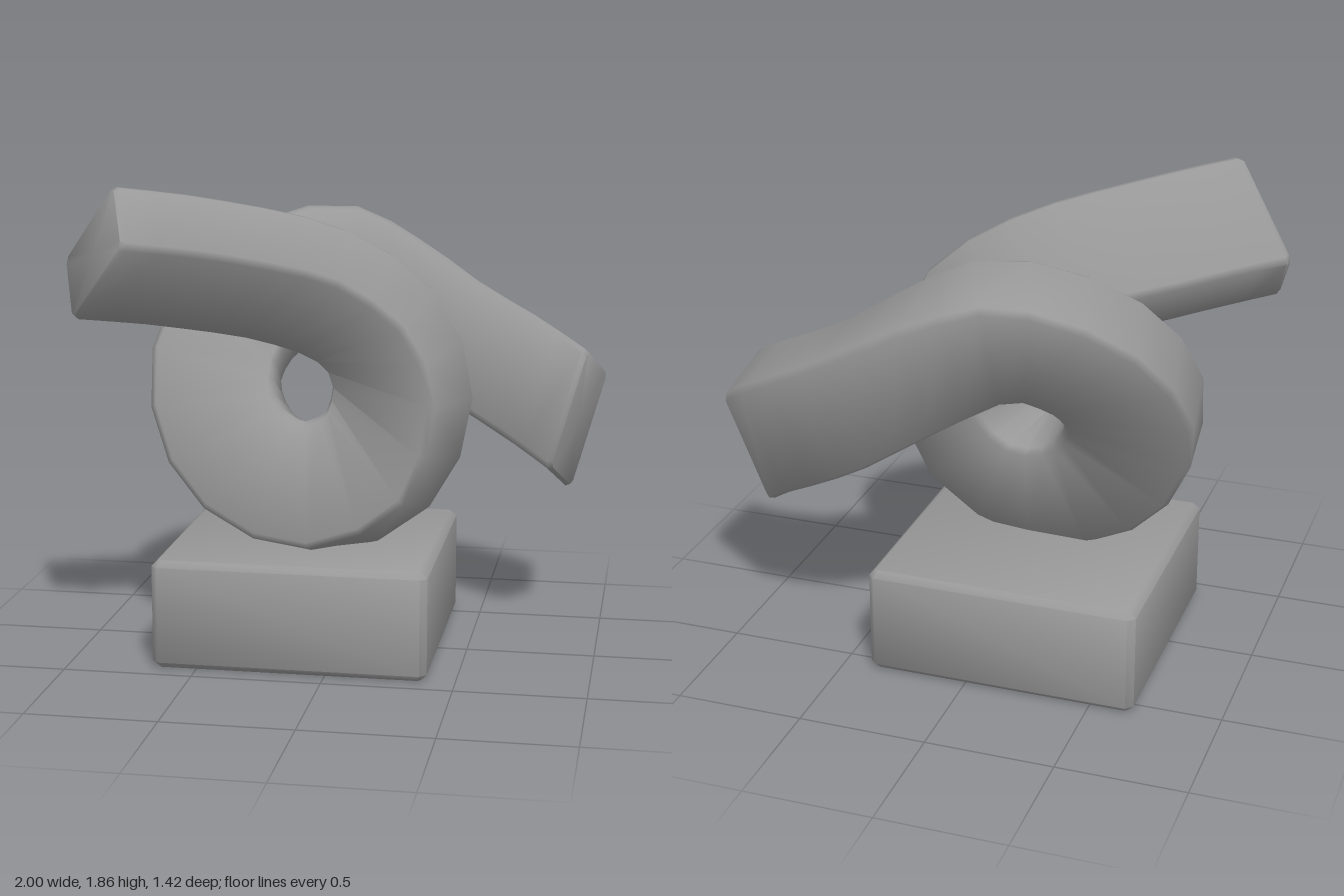
import * as THREE from 'three';
import { toCreasedNormals } from 'three/addons/utils/BufferGeometryUtils.js';

const WIDTH = 0.495, THICK = 0.285, STEPS = 32, CREASE = 1.0;

// Stations of the looped bar: centre, direction of the section's outer edge, skew of the section
const STATIONS = [
  [[-0.845, 1.612, 0.505], [0.55, 0.64, 0.53], 0],
  [[-0.51, 1.55, 0.29], [0.56, 0.63, 0.53], 0],
  [[-0.11, 1.44, 0.09], [0.62, 0.58, 0.52], 0],
  [[0.14, 1.28, 0.03], [0.78, 0.36, 0.52], 0],
  [[0.24, 1.05, 0.03], [0.87, 0, 0.49], 0],
  [[0.14, 0.76, 0.03], [0.66, -0.66, 0.38], 0],
  [[-0.135, 0.64, 0.03], [0, -0.95, 0.3], 0],
  [[-0.415, 0.77, -0.015], [-0.7, -0.7, 0.2], 0],
  [[-0.533, 1.05, -0.125], [-1, 0, 0.1], 0],
  [[-0.43, 1.30, -0.29], [-0.75, 0.62, -0.22], 0],
  [[-0.125, 1.435, -0.45], [0, 0.89, -0.43], 0],
  [[0.18, 1.30, -0.52], [0.1, 0.95, -0.28], 0.03],
  [[0.45, 1.125, -0.505], [0.2, 0.95, -0.2], 0.08],
  [[0.70, 0.99, -0.435], [0.25, 0.94, -0.18], 0.16],
  [[0.905, 0.875, -0.33], [0.27, 0.95, -0.17], 0.25],
];

// Rectangle with chamfered corners, anticlockwise
function chamferedRect(width, height, c) {
  const a = width / 2, b = height / 2;
  return [[a, b - c], [a - c, b], [c - a, b], [-a, b - c],
    [-a, c - b], [c - a, -b], [a - c, -b], [a, c - b]];
}

// Bar swept along the loop, with chamfered ends
function barGeometry() {
  const path = new THREE.CatmullRomCurve3(STATIONS.map(s => new THREE.Vector3(...s[0])));
  const outer = STATIONS.map(s => new THREE.Vector3(...s[1]).normalize());
  const positions = [], index = [];

  // One cross-section; returns its centre
  const ring = (t, inset = 0, shift = 0) => {
    const f = t * (STATIONS.length - 1);
    const i = Math.min(Math.floor(f), STATIONS.length - 2);
    const r = outer[i].clone().lerp(outer[i + 1], f - i).normalize();
    const tangent = path.getTangent(t);
    tangent.addScaledVector(r, -tangent.dot(r)).normalize();
    const skew = THREE.MathUtils.lerp(STATIONS[i][2], STATIONS[i + 1][2], f - i);
    const n = new THREE.Vector3().crossVectors(tangent, r).addScaledVector(r, skew);
    const centre = path.getPoint(t).addScaledVector(tangent, shift);
    for (const [u, v] of chamferedRect(WIDTH - 2 * inset, THICK - 2 * inset, 0.022)) {
      positions.push(...centre.clone().addScaledVector(r, u).addScaledVector(n, v));
    }
    return centre;
  };

  const start = ring(0, 0.01);
  ring(0, 0, 0.02);
  for (let k = 1; k < STEPS; k++) ring(path.getUtoTmapping(k / STEPS));
  ring(1, 0, -0.02);
  const end = ring(1, 0.01);
  positions.push(...start, ...end);

  // Side faces and end caps
  const sides = 8, last = (STEPS + 2) * sides;
  const startId = last + sides, endId = startId + 1;
  for (let j = 0; j < sides; j++) {
    const m = (j + 1) % sides;
    for (let k = 0; k < last; k += sides) {
      const a = k + j, b = k + m;
      index.push(a, b, a + sides, b, b + sides, a + sides);
    }
    index.push(startId, m, j, endId, last + j, last + m);
  }
  const geometry = new THREE.BufferGeometry();
  geometry.setAttribute('position', new THREE.Float32BufferAttribute(positions, 3));
  geometry.setIndex(index);
  return toCreasedNormals(geometry, CREASE);
}

// Block with all edges chamfered, standing on y = 0
function plinthGeometry(width, height, depth, bevel) {
  const outline = chamferedRect(width - 2 * bevel, depth - 2 * bevel, 0.012);
  const shape = new THREE.Shape(outline.map(p => new THREE.Vector2(...p)));
  const geometry = new THREE.ExtrudeGeometry(shape, {
    depth: height - 2 * bevel, bevelThickness: bevel, bevelSize: bevel, bevelSegments: 1,
  });
  geometry.rotateX(-Math.PI / 2).translate(0, bevel, 0);
  return toCreasedNormals(geometry, CREASE);
}

export function createModel() {
  const material = new THREE.MeshStandardMaterial({ color: 0x999999 });
  const model = new THREE.Group();
  model.name = 'loopSculpture';

  // Plinth
  const plinth = new THREE.Mesh(plinthGeometry(1.063, 0.425, 1.012, 0.024), material);
  plinth.name = 'plinth';
  plinth.position.set(-0.14, 0, -0.073);
  model.add(plinth);

  // Looped bar
  const bar = new THREE.Mesh(barGeometry(), material);
  bar.name = 'loopedBar';
  model.add(bar);

  return model;
}
